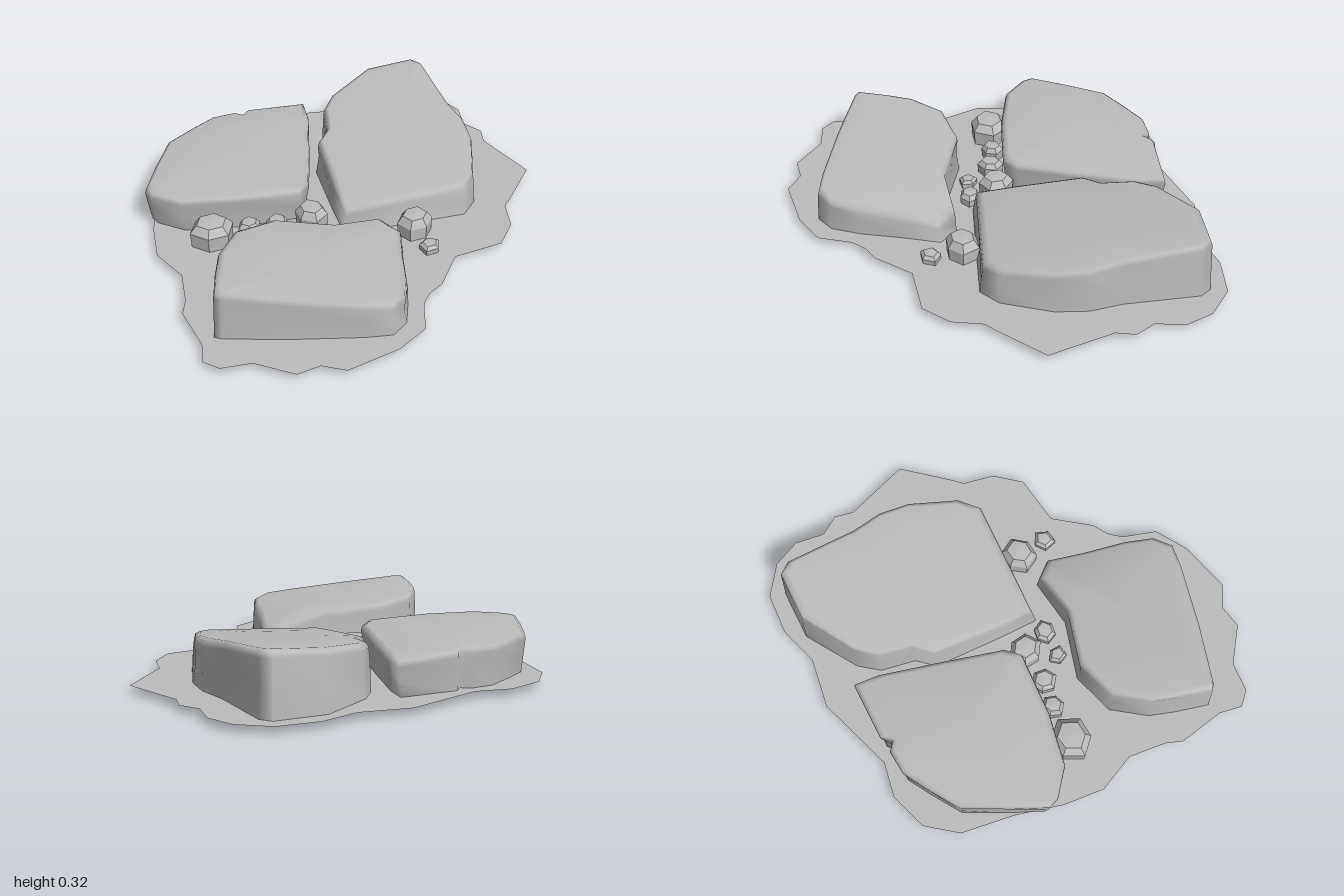
import * as THREE from 'three';

const GROUND = 0.03;

// Scale an outline about its middle
function scaled(pts, s) {
  const cx = pts.reduce((a, p) => a + p[0], 0) / pts.length;
  const cz = pts.reduce((a, p) => a + p[1], 0) / pts.length;
  return pts.map(([x, z]) => [cx + (x - cx) * s, cz + (z - cz) * s]);
}

// Skin stacked rings of [x, y, z] points (clockwise from above), close the top with a fan
function skin(rings, apex, closeBottom) {
  const n = rings[0].length, index = [];
  const verts = [...rings.flat(), apex];
  for (let r = 0; r < rings.length - 1; r++) {
    for (let j = 0; j < n; j++) {
      const k = (j + 1) % n, a = r * n, b = a + n;
      index.push(a + j, b + j, b + k, a + j, b + k, a + k);
    }
  }
  const last = (rings.length - 1) * n;
  for (let j = 0; j < n; j++) index.push(last + j, verts.length - 1, last + (j + 1) % n);
  if (closeBottom) for (let j = 1; j < n - 1; j++) index.push(0, j, j + 1);
  const g = new THREE.BufferGeometry();
  g.setAttribute('position', new THREE.Float32BufferAttribute(verts.flat(), 3));
  g.setIndex(index);
  g.computeVertexNormals();
  return g;
}

// Open-bottomed slab: chipped wall, rounded rim, gently tilted top
function slabGeometry({ outline, base, height }) {
  const mid = scaled(outline, 1).map(([x, z], i) => {
    const p = scaled(outline, (1 + base) / 2 - (i % 3 === 1 ? 0.025 : 0))[i];
    return [p[0], GROUND + (height(x, z) - GROUND) * (i % 2 ? 0.55 : 0.4), p[1]];
  });
  const ring = (s, drop) => scaled(outline, s).map(([x, z]) => [x, height(x, z) - drop, z]);
  const foot = scaled(outline, base).map(([x, z]) => [x, GROUND, z]);
  const [c] = [scaled(outline, 0)[0]];
  return skin(
    [foot, mid, ring(1, 0.035), ring(0.985, 0.012), ring(0.93, 0), ring(0.5, -0.006)],
    [c[0], height(c[0], c[1]) + 0.008, c[1]], false);
}

const slabs = [
  { name: 'backRightSlab', base: 0.95,
    height: (x) => 0.225 - 0.02 * THREE.MathUtils.smoothstep(x, -0.4, -0.05),
    outline: [[-0.94, -0.28], [-0.86, -0.45], [-0.76, -0.64], [-0.62, -0.73], [-0.5, -0.8], [-0.38, -0.81],
      [-0.34, -0.78], [-0.3, -0.82], [-0.01, -0.82], [-0.02, -0.7], [-0.1, -0.4], [-0.18, -0.12],
      [-0.24, -0.06], [-0.55, -0.08], [-0.8, -0.13], [-0.92, -0.23]] },
  { name: 'backLeftSlab', base: 1.03,
    height: (x, z) => 0.178 + 0.07 * x - 0.115 * z,
    outline: [[-0.06, -0.1], [-0.05, -0.42], [0.02, -0.5], [0.05, -0.66], [0.12, -0.75], [0.36, -0.9],
      [0.6, -0.9], [0.64, -0.85], [0.66, -0.5], [0.69, -0.35], [0.68, -0.2], [0.6, 0.03],
      [0.52, 0.11], [0.2, 0.1], [-0.06, 0.09]] },
  { name: 'frontSlab', base: 1.02,
    height: (x) => 0.195 - 0.11 * x - 0.04 * THREE.MathUtils.smoothstep(x, 0, 0.15),
    outline: [[-0.81, 0.63], [-0.77, 0.48], [-0.73, 0.36], [-0.62, 0.21], [-0.42, 0.15], [-0.15, 0.23],
      [0.08, 0.2], [0.15, 0.28], [0.1, 0.45], [0.05, 0.65], [0, 0.78], [-0.08, 0.84],
      [-0.2, 0.82], [-0.5, 0.74], [-0.78, 0.65]] },
];

// Uneven rim of the ground sheet
const rim = [[-0.95, 0], [-0.93, -0.2], [-0.87, -0.42], [-0.83, -0.68], [-0.72, -0.82], [-0.54, -0.88],
  [-0.37, -0.85], [0, -0.975], [0.24, -0.94], [0.43, -1], [0.63, -0.99], [0.77, -0.89], [0.83, -0.76],
  [0.81, -0.62], [0.87, -0.53], [0.85, -0.44], [0.96, -0.13], [0.78, 0.08], [0.74, 0.12], [0.71, 0.27],
  [0.61, 0.39], [0.37, 0.42], [0.24, 0.59], [0.17, 0.63], [0.12, 0.69], [0.07, 0.85], [-0.08, 0.94],
  [-0.33, 1], [-0.43, 0.94], [-0.54, 0.96], [-0.7, 0.84], [-0.84, 0.83], [-0.9, 0.77], [-0.88, 0.66],
  [-0.92, 0.44], [-0.89, 0.36], [-0.87, 0.18]];

// Pebbles: x, z, radius, bottom, top, sides
const pebbles = [
  [-0.68, -0.03, 0.1, 0.012, 0.15, 6], [-0.5, -0.03, 0.055, 0.025, 0.11, 6],
  [-0.37, -0.01, 0.06, 0.025, 0.11, 6], [-0.2, -0.02, 0.08, 0.012, 0.14, 6],
  [-0.28, 0.11, 0.045, 0.022, 0.075, 5], [-0.15, 0.11, 0.055, 0.012, 0.09, 6],
  [0.25, 0.18, 0.083, 0, 0.14, 6], [0.275, 0.33, 0.052, 0.02, 0.075, 5],
];

function pebbleGeometry([x, z, r, y0, y1, sides], seed) {
  const ring = (s, t) => Array.from({ length: sides }, (_, j) => {
    const a = (j / sides) * Math.PI * 2 + seed * 0.9;
    const q = r * s * (1 + 0.08 * Math.sin(seed * 3 + j * 2.3));
    return [x + Math.cos(a) * q, y0 + (y1 - y0) * t, z + Math.sin(a) * q];
  });
  return skin([ring(0.75, 0), ring(0.95, 0.15), ring(1, 0.7), ring(0.68, 0.97)], [x, y1, z], true);
}

export function createModel() {
  const model = new THREE.Group();
  model.name = 'rockSlabs';
  const stone = new THREE.MeshStandardMaterial({ color: 0xbbbbbb, side: THREE.DoubleSide });
  stone.name = 'greyStone';
  const add = (name, geometry) => {
    const mesh = new THREE.Mesh(geometry, stone);
    mesh.name = name;
    model.add(mesh);
  };

  // Ground sheet, open beneath each slab
  const toPoints = (pts) => pts.map(([x, z]) => new THREE.Vector2(x, -z));
  const sheet = new THREE.Shape(toPoints(rim));
  for (const s of slabs) sheet.holes.push(new THREE.Path(toPoints(scaled(s.outline, s.base * 0.98))));
  add('groundSheet', new THREE.ShapeGeometry(sheet).rotateX(-Math.PI / 2).translate(0, GROUND + 0.003, 0));

  for (const s of slabs) add(s.name, slabGeometry(s));

  // Faceted pebbles in the gaps
  pebbles.forEach((p, i) => {
    const g = pebbleGeometry(p, i + 1).toNonIndexed();
    g.computeVertexNormals();
    add('pebble' + (i + 1), g);
  });
  return model;
}
